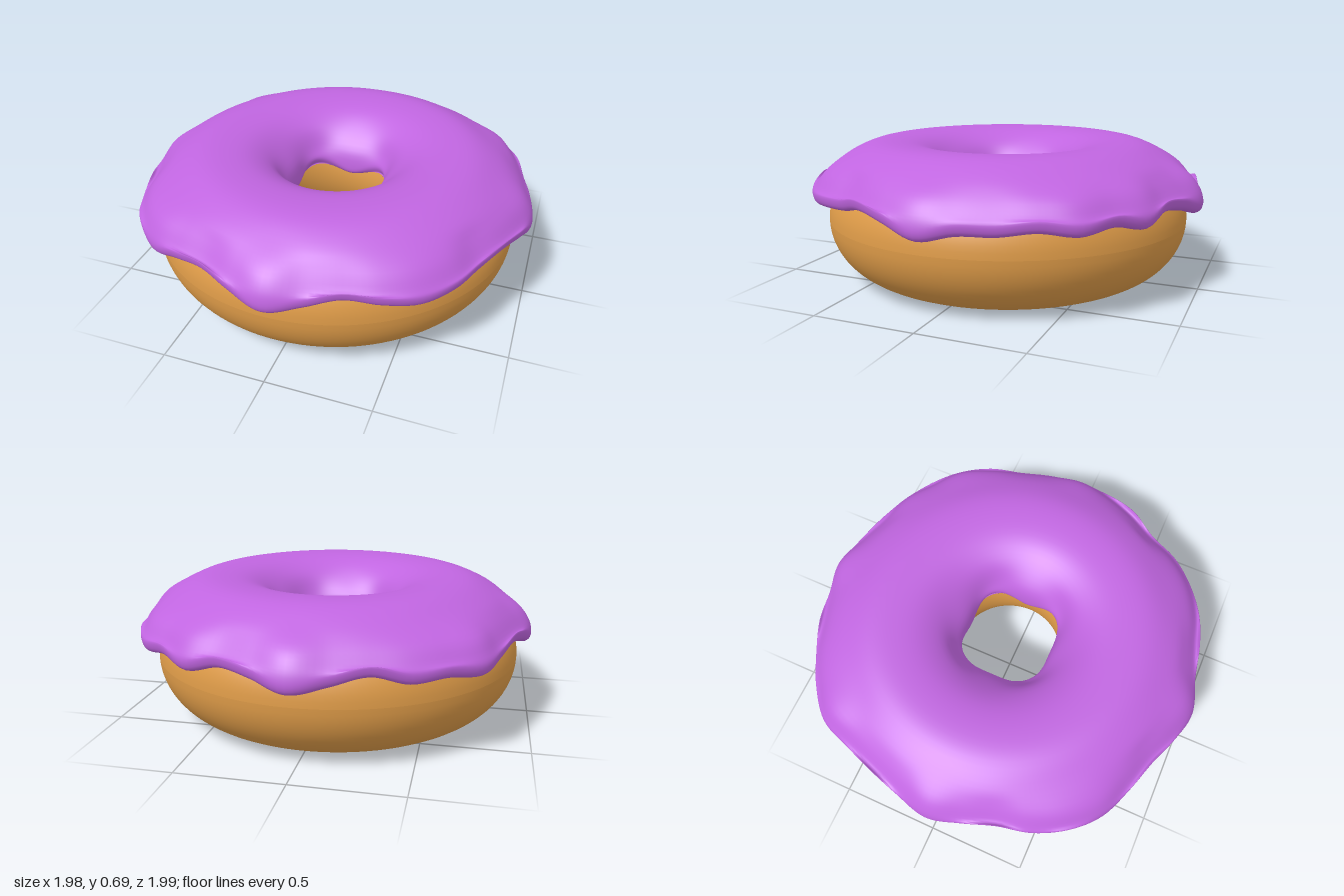
import * as THREE from 'three';

// Icing rim every 10 degrees, from +x round towards +z: outer reach and lowest height
const REACH = [
  0.99, 0.975, 0.96, 0.945, 0.975, 0.985, 0.975, 0.955, 0.955, 0.99, 0.965, 0.945,
  0.965, 1.0, 1.005, 0.985, 0.955, 0.965, 0.99, 0.965, 0.96, 0.975, 1.015, 1.0,
  0.985, 0.97, 0.97, 1.0, 0.965, 0.955, 0.985, 0.985, 1.005, 0.985, 0.965, 0.97];
const DRIP = [
  0.38, 0.43, 0.46, 0.43, 0.42, 0.41, 0.435, 0.46, 0.41, 0.38, 0.42, 0.45,
  0.43, 0.39, 0.43, 0.41, 0.45, 0.42, 0.38, 0.42, 0.45, 0.42, 0.40, 0.42,
  0.41, 0.45, 0.41, 0.38, 0.42, 0.44, 0.40, 0.43, 0.41, 0.43, 0.41, 0.41];

// Smooth closed Catmull-Rom lookup in an evenly spaced table
function sample(table, turn) {
  const n = table.length, f = turn * n, i = Math.floor(f), t = f - i;
  const [a, b, c, d] = [-1, 0, 1, 2].map(k => table[(i + k + n) % n]);
  return b + 0.5 * t * (c - a + t * (2 * a - 5 * b + 4 * c - d + t * (3 * (b - c) + d - a)));
}

// Radial cross-section of the icing, from inside the hole over the top to the drip
function icingSection(turn) {
  const a = turn * Math.PI * 2;
  const R = sample(REACH, turn), y = sample(DRIP, turn);
  const corner = Math.sin(2 * a) ** 2;
  const ri = 0.218 + 0.035 * corner, yi = 0.38 + 0.05 * corner;
  const pts = [
    [0.31, yi + 0.04], [0.262, yi], [ri + 0.012, yi], [ri, yi + 0.035],
    [ri + 0.025, 0.51], [0.335, 0.605], [0.44, 0.665], [0.57, 0.685], [0.69, 0.675],
    [0.81, 0.622], [R - 0.075, 0.56], [R - 0.02, 0.495], [R, y + 0.055],
    [R - 0.008, y + 0.015], [R - 0.035, y], [R - 0.065, y + 0.012], [0.85, y + 0.04]];
  return new THREE.SplineCurve(pts.map(p => new THREE.Vector2(...p)));
}

function icingGeometry(around = 216, along = 64) {
  const positions = [], index = [];
  for (let j = 0; j < around; j++) {
    const a = (j / around) * Math.PI * 2;
    for (const p of icingSection(j / around).getPoints(along)) {
      positions.push(p.x * Math.cos(a), p.y, p.x * Math.sin(a));
    }
  }
  const row = along + 1;
  for (let j = 0; j < around; j++) {
    const next = (j + 1) % around;
    for (let i = 0; i < along; i++) {
      const a = j * row + i, b = next * row + i;
      index.push(a, b, a + 1, b, b + 1, a + 1);
    }
  }
  const geometry = new THREE.BufferGeometry();
  geometry.setAttribute('position', new THREE.Float32BufferAttribute(positions, 3));
  geometry.setIndex(index);
  geometry.computeVertexNormals();
  return geometry;
}

export function createModel() {
  const dough = new THREE.MeshStandardMaterial({ name: 'golden dough', color: 0xde9b48 });
  const icing = new THREE.MeshStandardMaterial({ name: 'purple icing', color: 0xc065e0 });
  const group = new THREE.Group();
  group.name = 'doughnut';

  // Ring of dough, slightly flattened underneath
  const section = [];
  for (let i = 0; i <= 64; i++) {
    const a = (i / 64) * Math.PI * 2;
    section.push(new THREE.Vector2(0.592 + 0.325 * Math.cos(a),
      Math.max(0, 0.305 + 0.31 * Math.sin(a))));
  }
  const ring = new THREE.Mesh(new THREE.LatheGeometry(section, 128), dough);
  ring.name = 'doughRing';
  ring.position.x = -0.01;

  // Dripping icing coat over the top and into the hole
  const coat = new THREE.Mesh(icingGeometry(), icing);
  coat.name = 'icing';

  group.add(ring, coat);
  return group;
}
